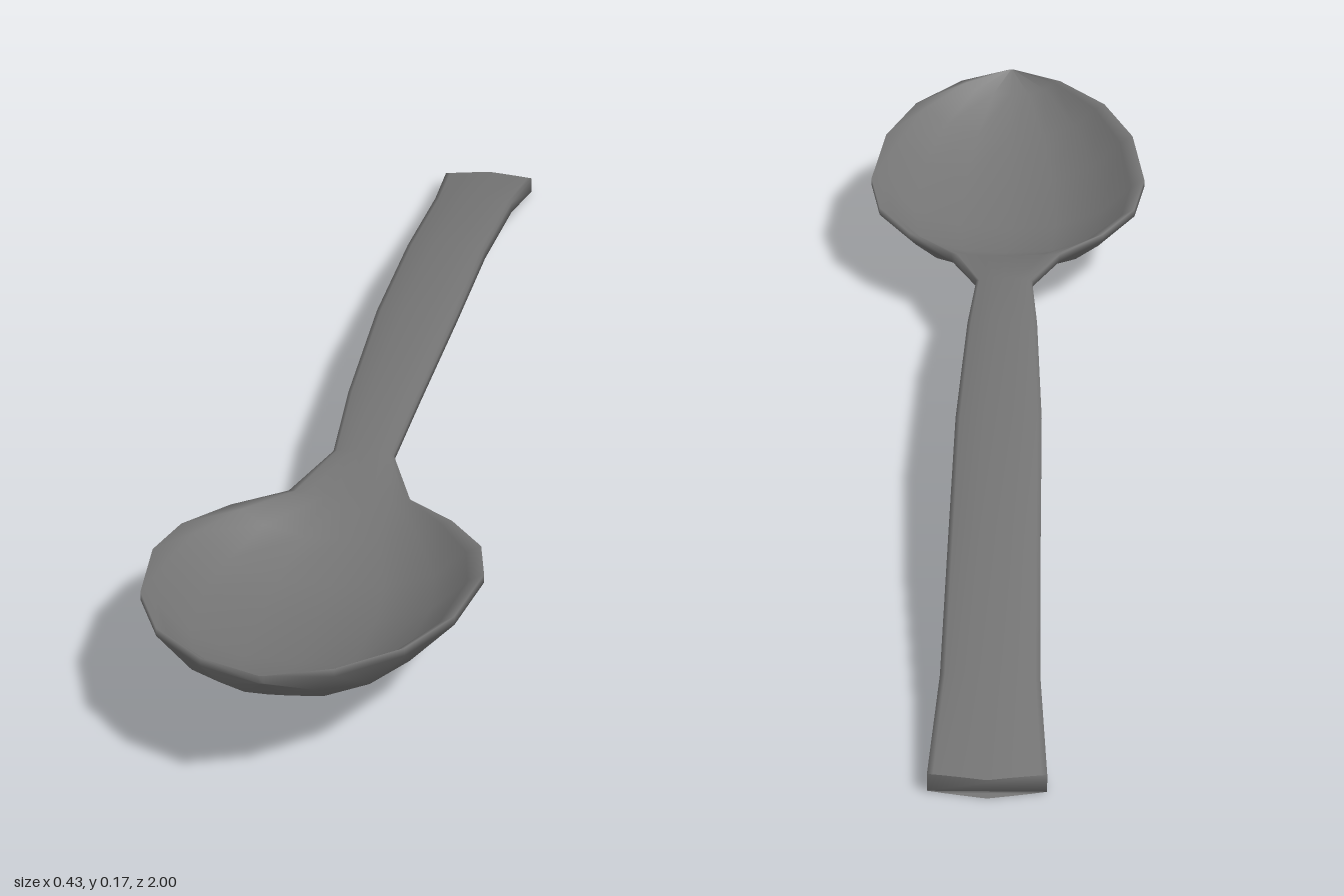
import * as THREE from 'three';

// Stations from handle end to bowl tip:
// [z, half width, edge top y, edge bottom y, underside centre y, upper centre y]
const STATIONS = [
  [-1.0, 0.073, 0.027, 0.003, 0.002, 0.028],
  [-0.8, 0.063, 0.057, 0.040, 0.035, 0.063],
  [-0.5, 0.061, 0.100, 0.085, 0.079, 0.107],
  [-0.2, 0.060, 0.120, 0.108, 0.102, 0.127],
  [0.1, 0.051, 0.126, 0.115, 0.109, 0.132],
  [0.27, 0.042, 0.117, 0.107, 0.099, 0.122],
  [0.385, 0.083, 0.110, 0.098, 0.086, 0.108],
  [0.45, 0.150, 0.116, 0.105, 0.056, 0.075],
  [0.53, 0.200, 0.124, 0.112, 0.033, 0.048],
  [0.625, 0.217, 0.134, 0.122, 0.033, 0.048],
  [0.77, 0.200, 0.150, 0.138, 0.050, 0.066],
  [0.88, 0.155, 0.162, 0.151, 0.083, 0.100],
  [0.96, 0.082, 0.171, 0.160, 0.128, 0.147],
  [1.0, 0.003, 0.176, 0.166, 0.165, 0.176],
];

// Half profiles: [fraction of half width, blend from centre height to edge height]
const LOWER = [[0, 0], [0.35, 0.03], [0.72, 0.36], [1, 1]];
const UPPER = [[1, 1], [0.9, 0.86], [0.69, 0.36], [0.35, 0.05], [0, 0]];

// Closed ring: underside centre, right edge, upper centre, left edge
function crossSection([z, w, edgeTop, edgeLow, under, upper], isEnd) {
  const half = [
    ...LOWER.map(([u, f]) => [u, under + f * (edgeLow - under)]),
    ...UPPER.map(([u, f]) => [u, upper + f * (edgeTop - upper)]),
  ];
  const mirrored = half.slice(1, -1).reverse().map(([u, y]) => [-u, y]);
  // The handle end is slightly pointed in plan
  return [...half, ...mirrored].map(([u, y]) => [u * w, y, z + (isEnd ? 0.015 * Math.abs(u) : 0)]);
}

function loft(sections) {
  const n = sections[0].length;
  const index = [];
  for (let i = 0; i < sections.length - 1; i++) {
    for (let j = 0; j < n; j++) {
      const a = i * n + j, b = i * n + ((j + 1) % n);
      index.push(a, b, b + n, a, b + n, a + n);
    }
  }
  // End caps, as strips between the left and right halves
  const last = (sections.length - 1) * n;
  for (let j = 0; j < n / 2; j++) {
    const r0 = j, r1 = j + 1, l0 = (n - j) % n, l1 = n - j - 1;
    for (const [p, q, r] of [[r0, l1, r1], [r0, l0, l1]]) {
      if (p === q || q === r || p === r) continue;
      index.push(p, q, r, last + p, last + r, last + q);
    }
  }
  const geometry = new THREE.BufferGeometry();
  geometry.setAttribute('position', new THREE.Float32BufferAttribute(sections.flat(2), 3));
  geometry.setIndex(index);
  // Shading runs smoothly round the rim and the handle edges
  geometry.computeVertexNormals();
  return geometry;
}

export function createModel() {
  const group = new THREE.Group();
  group.name = 'spoon';
  // Handle and bowl are one continuous skin
  const sections = STATIONS.map((s, i) => crossSection(s, i === 0));
  const body = new THREE.Mesh(loft(sections), new THREE.MeshStandardMaterial({ color: 0x747474 }));
  body.name = 'handleAndBowl';
  group.add(body);
  return group;
}
